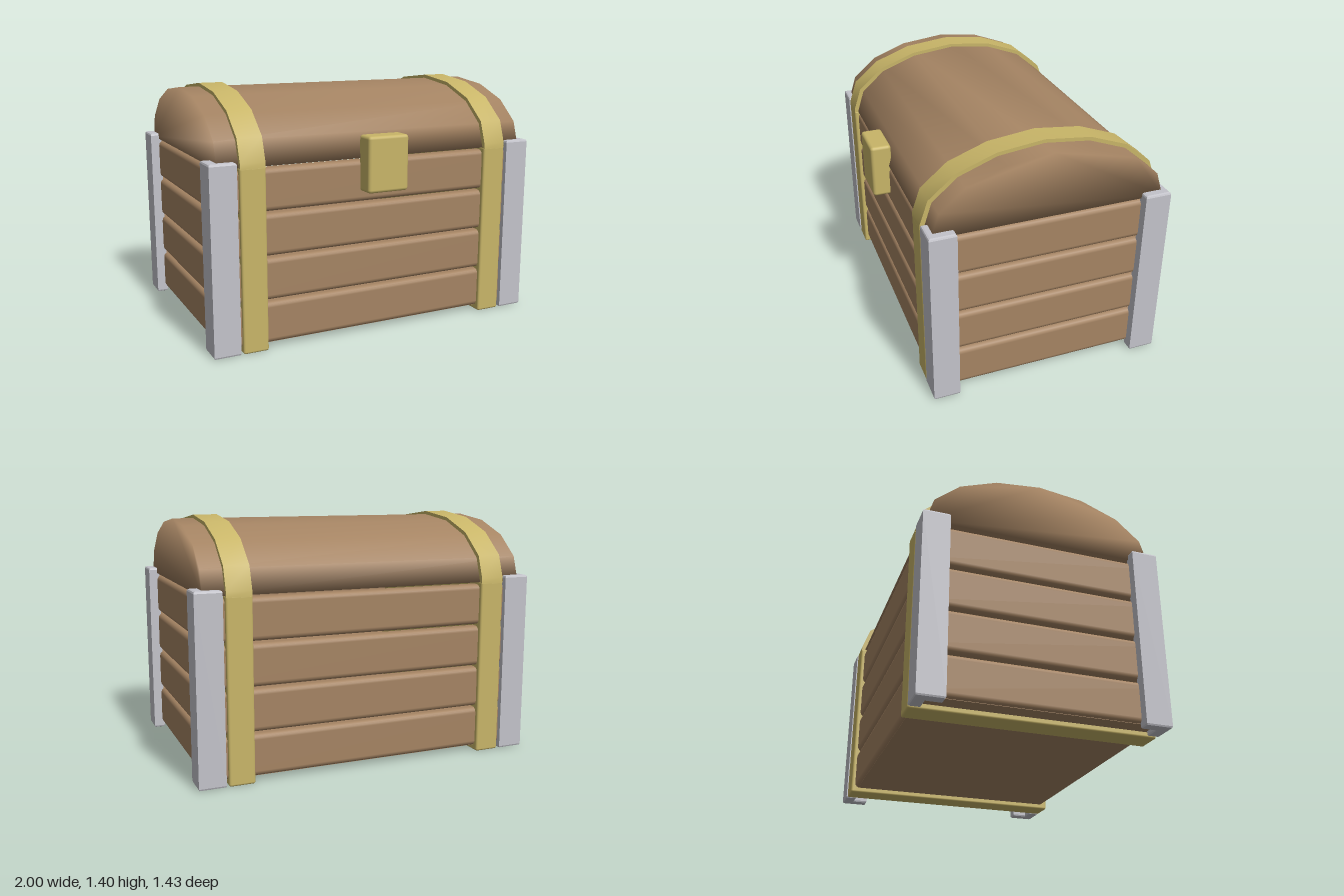
import * as THREE from 'three';
import { mergeVertices, toCreasedNormals } from 'three/addons/utils/BufferGeometryUtils.js';
import { RoundedBoxGeometry } from 'three/addons/geometries/RoundedBoxGeometry.js';

const ZC = -0.035; // centre of the body in z; the latch sticks out in front

const paint = (name, color) => {
  const m = new THREE.MeshStandardMaterial({ color });
  m.name = name;
  return m;
};

// Extrudes a symmetric arch (half profile of [z, y], base to crown) along x.
function archGeometry(half, width) {
  const mirrored = half.slice(0, -1).reverse().map(([z, y]) => [-z, y]);
  const shape = new THREE.Shape([...half, ...mirrored].map(([z, y]) => new THREE.Vector2(z, y)));
  const geo = new THREE.ExtrudeGeometry(shape, { depth: width, bevelEnabled: false });
  return geo.translate(0, 0, -width / 2).rotateY(Math.PI / 2);
}

// L-shaped corner post with a small bevel; sx and sz choose the corner.
function postGeometry(sx, sz) {
  const X = 1, Z = 0.68, arm = 0.15, t = 0.065, b = 0.012, height = 1.05;
  const outline = [[X, Z], [X - arm, Z], [X - arm, Z - t], [X - t, Z - t], [X - t, Z - arm], [X, Z - arm]];
  const shape = new THREE.Shape(outline.map(([x, z]) => new THREE.Vector2(sx * x, -sz * z)));
  const geo = new THREE.ExtrudeGeometry(shape, {
    depth: height - 2 * b, bevelThickness: b, bevelSize: b, bevelOffset: -b, bevelSegments: 2,
  });
  return geo.rotateX(-Math.PI / 2).translate(0, b, 0);
}

export function createModel() {
  const wood = paint('wood', 0xa58463);
  const gold = paint('gold', 0xc8b568);
  const steel = paint('steel', 0xc3c3ca);

  const chest = new THREE.Group();
  chest.name = 'chest';
  const add = (name, geo, mat, x = 0, y = 0, z = ZC) => {
    const mesh = new THREE.Mesh(geo, mat);
    mesh.name = name;
    mesh.position.set(x, y, z);
    chest.add(mesh);
    return mesh;
  };

  // Four rows of planks on every side, with narrow open gaps between them
  const plankH = 0.235, pitch = 0.246, thick = 0.09;
  const longPlank = new RoundedBoxGeometry(1.9, plankH, thick, 2, 0.03);
  const shortPlank = new RoundedBoxGeometry(thick, plankH, 1.31, 2, 0.03);
  for (let row = 0; row < 4; row++) {
    const y = 0.03 + plankH / 2 + row * pitch;
    for (const s of [1, -1]) {
      add(s > 0 ? 'frontPlank' : 'backPlank', longPlank, wood, 0, y, ZC + s * (0.655 - thick / 2));
      add(s > 0 ? 'leftPlank' : 'rightPlank', shortPlank, wood, s * (0.95 - thick / 2), y);
    }
  }

  // Floor
  add('floor', new THREE.BoxGeometry(1.86, 0.04, 1.27), wood, 0, 0.05);

  // Domed lid, softly shaded all round
  const lidProfile = [[0.655, 1.017], [0.61, 1.155], [0.47, 1.275], [0.257, 1.355], [0, 1.385]];
  let lid = archGeometry(lidProfile, 1.9);
  lid.deleteAttribute('normal');
  lid.deleteAttribute('uv');
  lid = mergeVertices(lid);
  lid.computeVertexNormals();
  add('lid', lid, wood);

  // Bands round the body and over the lid
  const bandProfile = [[0.677, 1.01], [0.675, 1.04], [0.63, 1.17], [0.48, 1.295], [0.262, 1.375], [0, 1.405]];
  const lidBand = toCreasedNormals(archGeometry(bandProfile, 0.14), 0.75);
  const bodyBand = new RoundedBoxGeometry(0.145, 1.02, 1.355, 2, 0.012);
  for (const s of [1, -1]) {
    add('bodyBand', bodyBand, gold, s * 0.762, 0.51);
    add('lidBand', lidBand, gold, s * 0.762);
  }

  // Corner posts
  for (const sx of [1, -1]) {
    for (const sz of [1, -1]) add('cornerPost', postGeometry(sx, sz), steel);
  }

  // Latch
  add('latch', new RoundedBoxGeometry(0.25, 0.315, 0.12, 2, 0.018), gold, 0, 0.988, 0.66);

  return chest;
}
